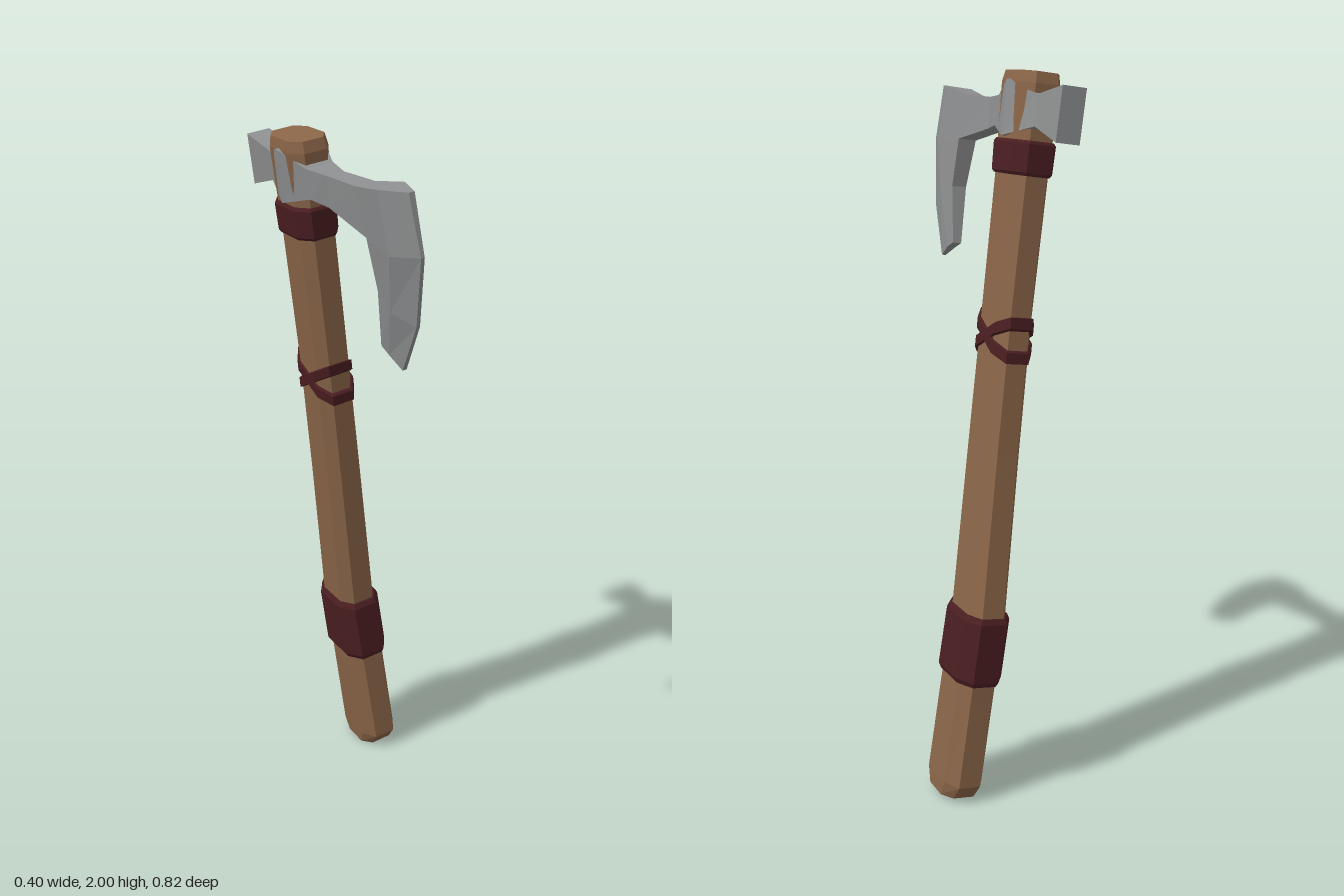
import * as THREE from 'three';

// Handle stations: height, centre z, half depth, half width
const STATIONS = [
  [0, -0.215, 0.07, 0.056], [0.045, -0.214, 0.102, 0.058], [0.3, -0.224, 0.097, 0.058],
  [0.55, -0.236, 0.094, 0.057], [1.0, -0.207, 0.088, 0.054], [1.35, -0.188, 0.086, 0.052],
  [1.75, -0.176, 0.088, 0.054], [1.97, -0.168, 0.093, 0.06], [2.0, -0.168, 0.086, 0.055],
];

function stationAt(y) {
  let i = 0;
  while (i < STATIONS.length - 2 && STATIONS[i + 1][0] < y) i++;
  const a = STATIONS[i], b = STATIONS[i + 1];
  const t = (y - a[0]) / (b[0] - a[0]);
  return a.map((v, k) => v + (b[k] - v) * t);
}

// Eight-sided ring; slope tilts it front to back
function ring([y, cz, hz, hx], pad = 0, slope = 0) {
  const k = 0.55;
  const corners = [[1, k], [1, -k], [k, -1], [-k, -1], [-1, -k], [-1, k], [-k, 1], [k, 1]];
  return corners.map(([u, v]) => {
    const dz = v * (hz + pad);
    return [u * (hx + pad), y + slope * dz, cz + dz];
  });
}

function toGeometry(triangles) {
  const geo = new THREE.BufferGeometry();
  geo.setAttribute('position', new THREE.Float32BufferAttribute(triangles.flat(), 3));
  geo.computeVertexNormals();
  return geo;
}

function quad(out, a, b, c, d) {
  out.push(a, b, c, a, c, d);
}

// Skin rings from bottom to top and close both ends
function loft(rings) {
  const tris = [], n = rings[0].length;
  const centre = (r) => [0, 1, 2].map((k) => r.reduce((s, p) => s + p[k], 0) / n);
  const first = rings[0], last = rings[rings.length - 1];
  for (let i = 0; i < n; i++) {
    const j = (i + 1) % n;
    for (let r = 0; r < rings.length - 1; r++) {
      quad(tris, rings[r][i], rings[r][j], rings[r + 1][j], rings[r + 1][i]);
    }
    tris.push(centre(last), last[i], last[j], centre(first), first[j], first[i]);
  }
  return toGeometry(tris);
}

// Leather band hugging the handle between two heights
function bandGeometry(y0, y1, pad, bevel, slope = 0) {
  const at = (y, p) => ring(stationAt(y), p, slope);
  return loft([
    at(y0, pad * 0.4), at(y0 + bevel, pad), at(y1 - bevel, pad), at(y1, pad * 0.4),
  ]);
}

// Axe head: points are [z, y, half thickness], mirrored across x
function headGeometry() {
  const top = [
    [-0.41, 1.96, 0.034], [-0.275, 1.935, 0.034], [-0.167, 1.97, 0.07], [-0.065, 1.93, 0.04],
    [0.02, 1.925, 0.025], [0.17, 1.93, 0.028],
  ];
  const bottom = [
    [-0.41, 1.82, 0.034], [-0.285, 1.855, 0.034], [-0.17, 1.825, 0.07], [-0.06, 1.85, 0.04],
    [0.01, 1.84, 0.025], [0.195, 1.805, 0.027],
  ];
  // Blade rows run inner edge, ridge, cutting edge
  const blade = [
    [top[5], [0.295, 1.95, 0.04], [0.39, 1.955, 0.008]],
    [bottom[5], [0.318, 1.79, 0.038], [0.413, 1.8, 0.005]],
    [[0.215, 1.67, 0.022], [0.275, 1.63, 0.027], [0.36, 1.61, 0.005]],
    [[0.185, 1.51, 0.013], [0.22, 1.495, 0.013], [0.27, 1.465, 0.006]],
  ];
  const tris = [];
  const left = (p) => [p[2], p[1], p[0]];
  const right = (p) => [-p[2], p[1], p[0]];
  const bothSides = (a, b, c, d) => {
    quad(tris, left(a), left(b), left(c), left(d));
    quad(tris, right(d), right(c), right(b), right(a));
  };
  for (let i = 0; i < 5; i++) bothSides(top[i], top[i + 1], bottom[i + 1], bottom[i]);
  for (let r = 0; r < 3; r++) {
    for (let c = 0; c < 2; c++) {
      bothSides(blade[r][c], blade[r][c + 1], blade[r + 1][c + 1], blade[r + 1][c]);
    }
  }
  // Rim joining the two sides
  const outline = [
    ...top, blade[0][1], ...blade.map((row) => row[2]),
    blade[3][1], blade[3][0], blade[2][0], ...bottom.slice().reverse(),
  ];
  outline.forEach((p, i) => {
    const q = outline[(i + 1) % outline.length];
    quad(tris, left(p), right(p), right(q), left(q));
  });
  return toGeometry(tris);
}

export function createModel() {
  const material = (name, color) => {
    const m = new THREE.MeshStandardMaterial({ color });
    m.name = name;
    return m;
  };
  const wood = material('wood', 0x8a6548);
  const leather = material('dark red leather', 0x4a1e21);
  const steel = material('steel', 0x8e8f90);

  const axe = new THREE.Group();
  axe.name = 'axeBody';
  axe.position.z = 0.19;
  const add = (name, geometry, mat) => {
    const mesh = new THREE.Mesh(geometry, mat);
    mesh.name = name;
    axe.add(mesh);
    return mesh;
  };

  add('handle', loft(STATIONS.map((s) => ring(s))), wood);
  add('gripWrap', bandGeometry(0.35, 0.55, 0.012, 0.015), leather);
  add('collarWrap', bandGeometry(1.735, 1.825, 0.009, 0.008), leather);
  add('crossWrapRising', bandGeometry(1.29, 1.325, 0.008, 0.003, 0.5), leather);
  add('crossWrapFalling', bandGeometry(1.29, 1.325, 0.007, 0.003, -0.5), leather);
  add('axeHead', headGeometry(), steel).position.y = 0.006;

  // Slight twist about the handle, then the lean to one side
  const twist = new THREE.Group();
  twist.name = 'twist';
  twist.position.z = -0.19;
  twist.rotation.y = -0.09;
  twist.add(axe);

  const lean = new THREE.Group();
  lean.name = 'lean';
  lean.position.set(0.143, 0.008, 0);
  lean.rotation.z = 0.13;
  lean.add(twist);

  const model = new THREE.Group();
  model.name = 'axe';
  model.add(lean);
  return model;
}
